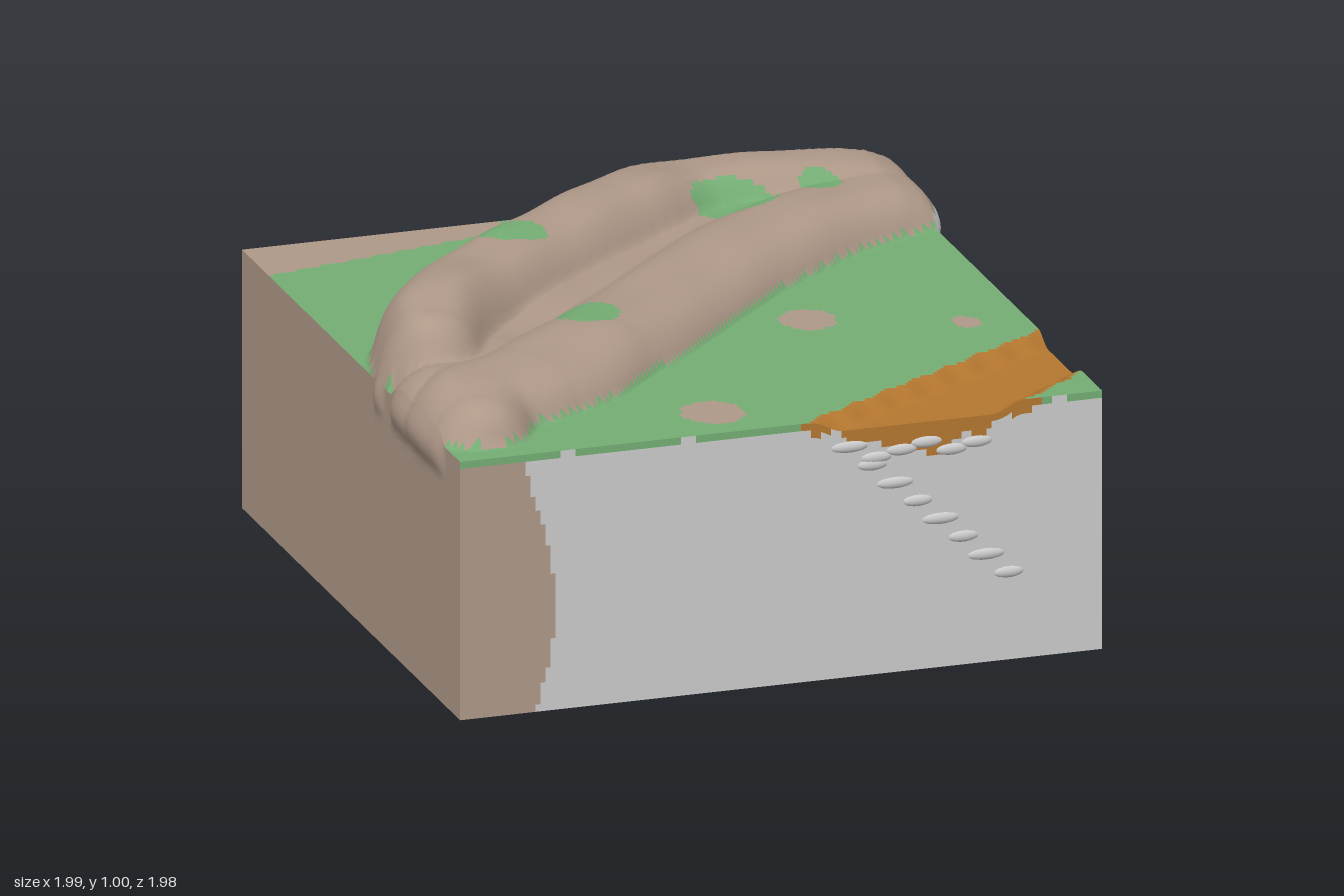
import * as THREE from 'three';

const X0 = -0.965, X1 = 0.955, Z0 = -0.945, Z1 = 0.985, GROUND = 0.775, N = 128;
const { clamp, smoothstep, lerp } = THREE.MathUtils;

const materials = {};
for (const [name, color] of [['rock', 0xae9888], ['grass', 0x74ad74], ['dirt', 0xb4762f], ['stone', 0xcccccc]]) {
  materials[name] = new THREE.MeshStandardMaterial({ color });
}

// Ridges: control points are x, z, half width, height above the ground
const ridges = [
  // tall outer ridge
  [[0.97, -0.78, 0.2, 0.11], [0.65, -0.8, 0.18, 0.155], [0.3, -0.78, 0.19, 0.17], [0.05, -0.62, 0.19, 0.205],
    [-0.3, -0.35, 0.19, 0.2], [-0.55, -0.13, 0.19, 0.205], [-0.74, 0.1, 0.18, 0.225], [-0.81, 0.27, 0.16, 0.21]],
  // low inner ridge
  [[0.95, -0.68, 0.18, 0.11], [0.6, -0.53, 0.19, 0.125], [0.3, -0.33, 0.21, 0.12], [0, -0.04, 0.21, 0.115],
    [-0.3, 0.25, 0.21, 0.12], [-0.6, 0.5, 0.21, 0.12], [-0.8, 0.62, 0.2, 0.125], [-0.84, 0.76, 0.15, 0.11]],
  // shelf between the two
  [[0.6, -0.7, 0.2, 0.085], [0.1, -0.4, 0.22, 0.085], [-0.3, -0.05, 0.22, 0.085],
    [-0.6, 0.25, 0.22, 0.085], [-0.83, 0.5, 0.18, 0.1]],
].map((points) => {
  const path = new THREE.CatmullRomCurve3(points.map((p) => new THREE.Vector3(p[0], 0, p[1])));
  const size = new THREE.CatmullRomCurve3(points.map((p) => new THREE.Vector3(p[2], p[3], 0)));
  return Array.from({ length: 81 }, (_, i) => {
    const p = path.getPoint(i / 80), s = size.getPoint(i / 80);
    return { x: p.x, z: p.z, w: s.x, h: s.y };
  });
});

// Height of the rock above the ground
function rockHeight(x, z) {
  let height = 0;
  for (const ridge of ridges) {
    let best = 1, h = 0;
    for (const s of ridge) {
      const d = Math.hypot(x - s.x, z - s.z) / s.w;
      if (d < best) { best = d; h = s.h; }
    }
    height = Math.max(height, h * Math.pow(1 - best ** 3, 0.75));
  }
  // worn edges and a slightly uneven surface
  const edge = Math.min(x - X0, X1 - x, z - Z0, Z1 - z);
  const rough = 1 + 0.035 * Math.sin(13 * x + 7 * z) * Math.sin(11 * z - 6 * x);
  return height * rough * lerp(0.7, 1, Math.sqrt(clamp(edge / 0.09, 0, 1)));
}

// Distance inside the sunken path that cuts the front right corner
function pathInset(x, z) {
  const inner = (x - 0.06) * 0.527 + (z - 0.985) * 0.85;
  const outer = (0.73 - x) * 0.614 + (0.985 - z) * 0.789;
  return Math.min(inner, outer) + 0.006 * Math.sin(40 * x - 25 * z);
}

function terrainHeight(x, z) {
  return GROUND + rockHeight(x, z) - 0.035 * smoothstep(pathInset(x, z), 0, 0.07);
}

// Patches: x, z, radius x, radius z
const grassPatches = [[-0.37, -0.31, 0.1, 0.08], [-0.32, 0.2, 0.09, 0.11], [0.4, -0.61, 0.13, 0.09], [0.67, -0.66, 0.06, 0.06]];
const rockPatches = [[0.36, 0.14, 0.08, 0.09], [0.78, 0.3, 0.04, 0.05], [-0.15, 0.81, 0.09, 0.1]];
const inPatch = (list, x, z) => list.some(([a, b, r, s]) => Math.hypot((x - a) / r, (z - b) / s) < 1);

function terrainKind({ x, z }) {
  if (pathInset(x, z) > 0) return 'dirt';
  if (rockHeight(x, z) > 0.012) return inPatch(grassPatches, x, z) ? 'grass' : 'rock';
  const bareCorner = z < -0.8 - 0.2 * (x + 0.5) && x < -0.2;
  return bareCorner || inPatch(rockPatches, x, z) ? 'rock' : 'grass';
}

// Smooth grid surface, divided into one mesh per kind of ground
function addSurface(group, name, nu, nv, point, kindAt) {
  const positions = [], faces = {}, all = [];
  for (let j = 0; j <= nv; j++) {
    for (let i = 0; i <= nu; i++) positions.push(...point(i / nu, j / nv).toArray());
  }
  for (let j = 0; j < nv; j++) {
    for (let i = 0; i < nu; i++) {
      const a = j * (nu + 1) + i, b = a + nu + 1;
      const quad = [a, b, a + 1, b, b + 1, a + 1];
      const kind = kindAt(point((i + 0.5) / nu, (j + 0.5) / nv));
      (faces[kind] ??= []).push(...quad);
      all.push(...quad);
    }
  }
  const whole = new THREE.BufferGeometry();
  whole.setAttribute('position', new THREE.Float32BufferAttribute(positions, 3));
  whole.setIndex(all);
  whole.computeVertexNormals();
  for (const kind in faces) {
    whole.setIndex(faces[kind]);
    const mesh = new THREE.Mesh(whole.toNonIndexed(), materials[kind]);
    mesh.name = `${name} ${kind}`;
    group.add(mesh);
  }
}

// Side wall from corner a to corner b, bulging out where rock hangs over it
function wallPoint([ax, az], [bx, bz], normal) {
  const length = Math.hypot(bx - ax, bz - az);
  return (u, v) => {
    const x = lerp(ax, bx, u), z = lerp(az, bz, u);
    const top = terrainHeight(x, z), y = top * (1 - v);
    const corner = Math.sqrt(clamp(Math.min(u, 1 - u) * length / 0.08, 0, 1));
    const amount = 0.042 * clamp(rockHeight(x, z) / 0.07, 0, 1) * corner;
    const out = amount * Math.sin(Math.PI * clamp((top - y) / (top - 0.68), 0, 1));
    return new THREE.Vector3(x + normal[0] * out, y, z + normal[1] * out);
  };
}

function frontKind({ x, y }) {
  if (y > 0.64 + 0.12 * Math.abs(x - 0.42) / 0.37 + 0.012 * Math.sin(50 * x)) return x > 0.05 && x < 0.8 ? 'dirt' : 'grass';
  if (y > 0.755 + 0.01 * Math.sin(17 * x)) return 'grass';
  return x < -0.74 + 0.06 * Math.sin(5 * y) ? 'rock' : 'stone';
}

function rightKind({ y, z }) {
  if (y > 0.64 + 0.13 * ((z - 0.62) / 0.22) ** 2 + 0.01 * Math.sin(60 * z)) return z > 0.4 ? 'dirt' : 'grass';
  if (z < -0.78 + 0.03 * Math.sin(14 * y) || y > 0.81) return 'rock';
  return y > 0.755 && z > -0.5 ? 'grass' : 'stone';
}

export function createModel() {
  const model = new THREE.Group();
  model.name = 'terrain block';

  // Ground and ridges
  addSurface(model, 'terrain', N, N, (u, v) => {
    const x = lerp(X0, X1, u), z = lerp(Z0, Z1, v);
    return new THREE.Vector3(x, terrainHeight(x, z), z);
  }, terrainKind);

  // Four side walls
  const fl = [X0, Z1], fr = [X1, Z1], br = [X1, Z0], bl = [X0, Z0];
  addSurface(model, 'front wall', N, 36, wallPoint(fl, fr, [0, 1]), frontKind);
  addSurface(model, 'right wall', N, 36, wallPoint(fr, br, [1, 0]), rightKind);
  addSurface(model, 'back wall', N, 36, wallPoint(br, bl, [0, -1]), () => 'rock');
  addSurface(model, 'left wall', N, 36, wallPoint(bl, fl, [-1, 0]), () => 'rock');

  // Underside
  const base = new THREE.Mesh(new THREE.PlaneGeometry(X1 - X0, Z1 - Z0).rotateX(Math.PI / 2), materials.stone);
  base.position.set((X0 + X1) / 2, 0, (Z0 + Z1) / 2);
  base.name = 'underside';
  model.add(base);

  // Small stone ledges stepping down the front wall
  const ledges = new THREE.Group();
  ledges.name = 'stone ledges';
  const ledgeShape = new THREE.SphereGeometry(1, 14, 8);
  const addLedge = (x, y, width) => {
    const ledge = new THREE.Mesh(ledgeShape, materials.stone);
    ledge.position.set(x, y, Z1 - 0.004);
    ledge.scale.set(width, 0.018, 0.013);
    ledge.name = 'ledge';
    ledges.add(ledge);
  };
  for (let i = 0; i < 8; i++) addLedge(0.2 + 0.068 * i, 0.69 - 0.061 * i, 0.06 - 0.012 * (i % 2));
  for (let i = 0; i < 5; i++) addLedge(0.28 + 0.075 * i, 0.65 + 0.015 * (i % 3), 0.05);
  model.add(ledges);

  return model;
}
